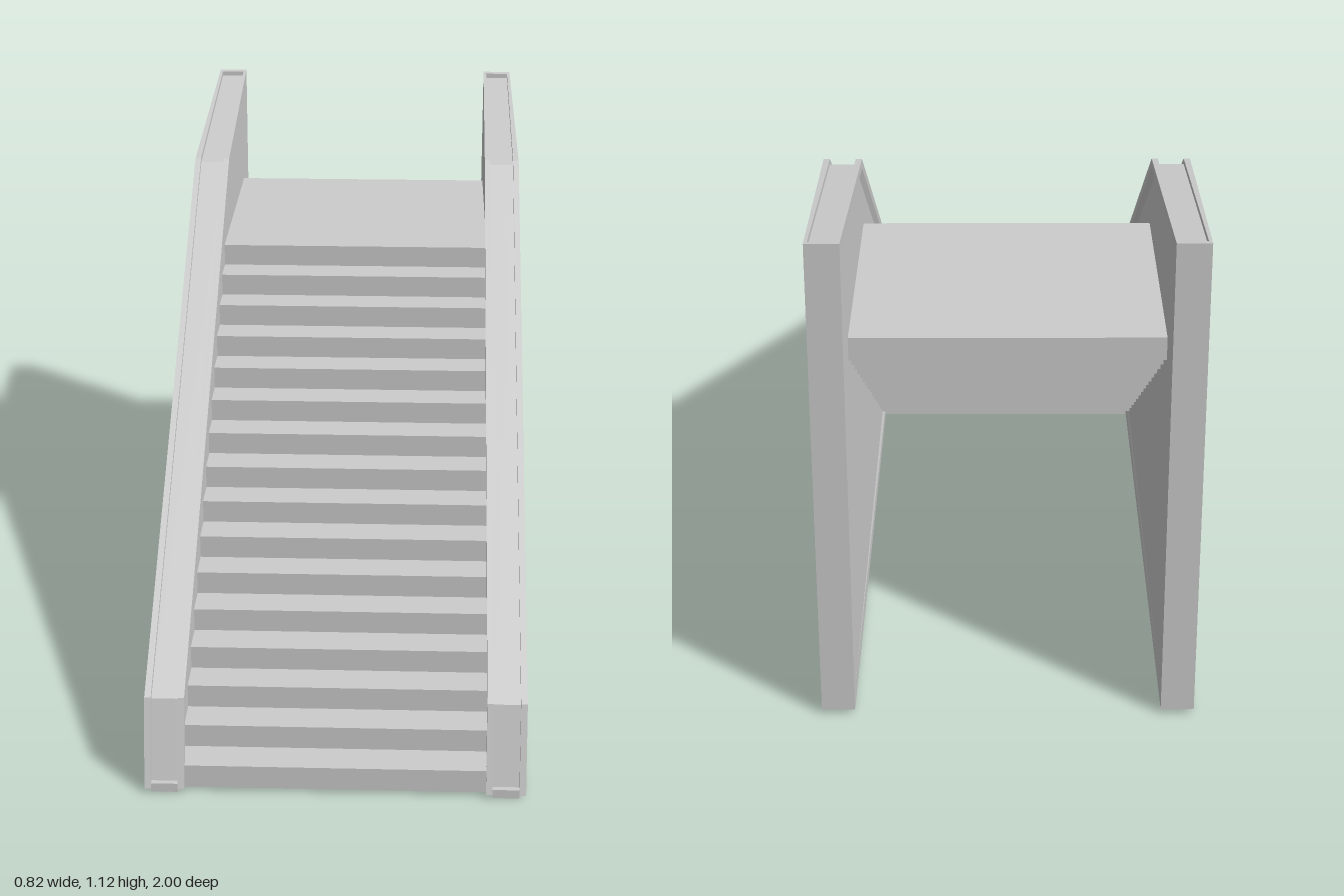
import * as THREE from 'three';

const material = new THREE.MeshStandardMaterial({ color: 0xcccccc, flatShading: true });

// Side outline of a wall as (z, y), starting at the front foot
const outline = [[1, 0.01], [-1, 0.01], [-1, 1.115], [-0.35, 1.04], [0.95, 0.205]]
  .map(([z, y]) => new THREE.Vector2(z, y));
const HALF = 0.036; // half thickness of a wall
const FLOOR = 0.029; // half width of the channel along the rail

// Moves every edge of the outline inward by d
function inset(points, d) {
  const n = points.length;
  const normal = (a, b) => {
    const v = b.clone().sub(a).normalize();
    return new THREE.Vector2(v.y, -v.x);
  };
  return points.map((p, i) => {
    const n1 = normal(points[(i + n - 1) % n], p);
    const n2 = normal(p, points[(i + 1) % n]);
    return p.clone().addScaledVector(n1.clone().add(n2), d / (1 + n1.dot(n2)));
  });
}

// Extrudes a (z, y) outline between two x positions
function slab(name, points, x0, x1) {
  const geometry = new THREE.ExtrudeGeometry(new THREE.Shape(points), {
    depth: x1 - x0, bevelEnabled: false,
  });
  geometry.rotateY(-Math.PI / 2).translate(x1, 0, 0);
  const mesh = new THREE.Mesh(geometry, material);
  mesh.name = name;
  return mesh;
}

function box(name, w, h, d, x, y, z) {
  const mesh = new THREE.Mesh(new THREE.BoxGeometry(w, h, d), material);
  mesh.position.set(x, y, z);
  mesh.name = name;
  return mesh;
}

// Raised border on a wall face, fading out towards the back
function border(side) {
  const raise = [0.007, 0, 0, 0.007, 0.007];
  const loops = [[0, 0], [0, 1], [0.02, 1], [0.04, 0]].map(([d, k]) =>
    inset(outline, d).map((p, i) => [side * (HALF + k * raise[i]), p.y, p.x]));
  const positions = [];
  for (let l = 0; l < 3; l++) {
    for (let i = 0; i < 5; i++) {
      if (i === 1) continue; // the back edge stays plain
      const j = (i + 1) % 5;
      const a = loops[l][i], b = loops[l][j], c = loops[l + 1][j], d = loops[l + 1][i];
      const corners = side > 0 ? [a, b, c, a, c, d] : [a, c, b, a, d, c];
      positions.push(...corners.flat());
    }
  }
  const geometry = new THREE.BufferGeometry();
  geometry.setAttribute('position', new THREE.Float32BufferAttribute(positions, 3));
  geometry.computeVertexNormals();
  const mesh = new THREE.Mesh(geometry, material);
  mesh.name = side > 0 ? 'borderLeft' : 'borderRight';
  return mesh;
}

function createWall(name, x) {
  const wall = new THREE.Group();
  wall.name = name;
  // Lower core forms the channel floor between two thin side plates
  const core = inset(outline, 0.012);
  for (const p of core) if (p.y < 0.03) p.y = 0.01;
  wall.add(slab('core', core, -FLOOR, FLOOR));
  for (const s of [-1, 1]) {
    wall.add(slab('sidePlate', outline, s > 0 ? FLOOR : -HALF, s > 0 ? HALF : -FLOOR));
    wall.add(border(s));
  }
  // Closed back end of the channel
  const back = [[-1, 0.01], [-1, 1.115], [-0.985, 1.113], [-0.985, 0.01]]
    .map(([z, y]) => new THREE.Vector2(z, y));
  wall.add(slab('backEnd', back, -FLOOR, FLOOR));
  wall.add(box('foot', 0.058, 0.02, 0.03, 0, 0.01, 0.98));
  wall.position.x = x;
  return wall;
}

export function createModel() {
  const model = new THREE.Group();
  model.name = 'staircase';
  model.add(createWall('leftWall', 0.3685), createWall('rightWall', -0.3685));

  // Overlapping long treads, the highest one being the landing
  const steps = new THREE.Group();
  steps.name = 'steps';
  const count = 16, rise = 0.052, run = 0.0823, length = 0.61;
  for (let i = 0; i < count; i++) {
    const name = i === count - 1 ? 'landing' : 'step';
    steps.add(box(name, 0.668, rise, length, 0,
      0.06 + rise * (i - 0.5), 0.985 - run * i - length / 2));
  }
  model.add(steps);
  return model;
}
